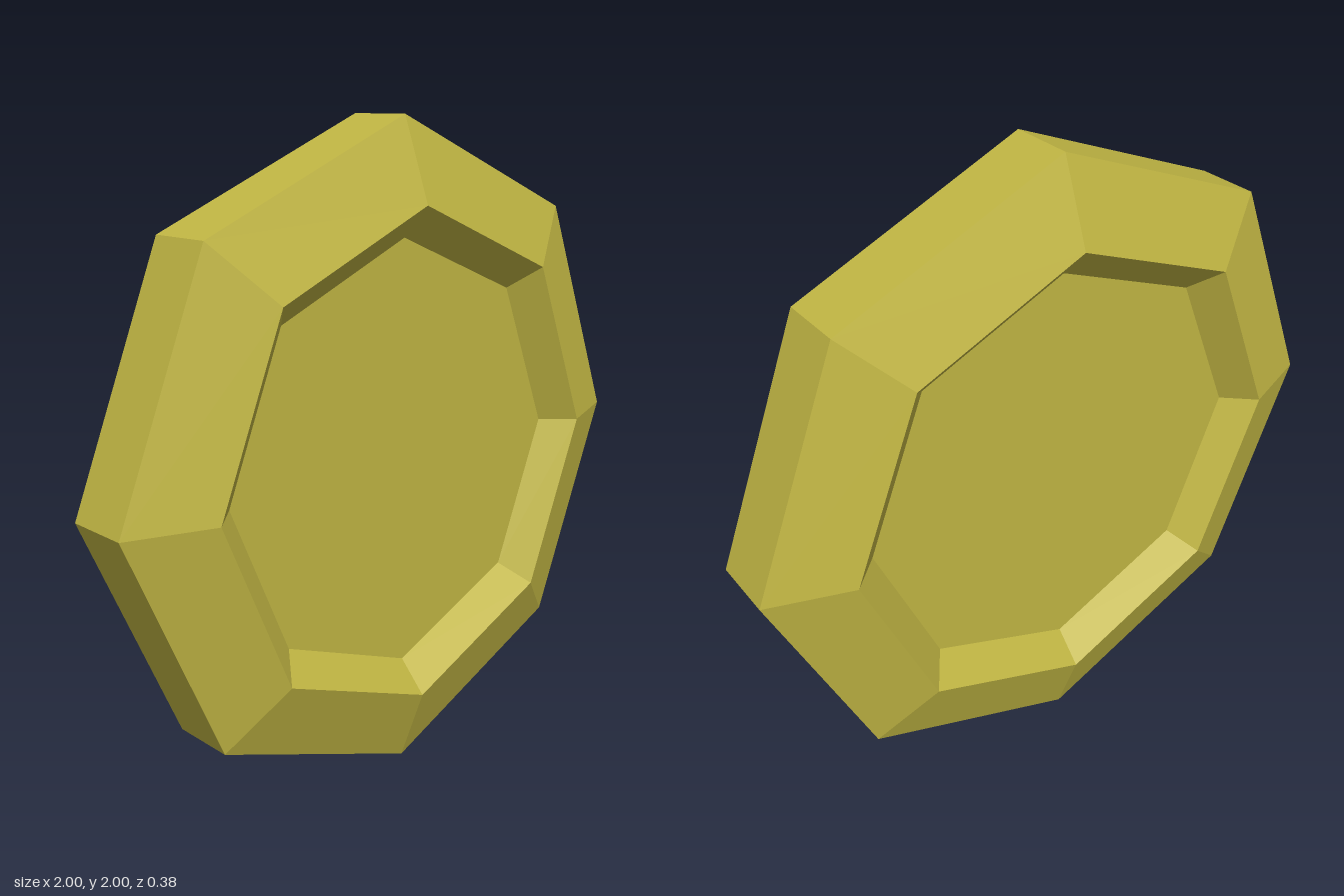
import * as THREE from 'three';

const SIDES = 8;
const FLOOR_R = 0.66;
const FLOOR_Z = 0.1;

export function createModel() {
  const group = new THREE.Group();
  group.name = 'octagonalDisc';

  const olive = new THREE.MeshStandardMaterial({ color: 0xc0b543, flatShading: true });
  olive.name = 'olive gold';

  // Bevelled rim: cross-section revolved in eight steps, then stood upright
  const profile = [
    [FLOOR_R, -FLOOR_Z], [0.755, -0.19], [1, -0.1],
    [1, 0.1], [0.755, 0.19], [FLOOR_R, FLOOR_Z],
  ].map(([r, h]) => new THREE.Vector2(r, h));
  const rimGeometry = new THREE.LatheGeometry(profile, SIDES).rotateX(Math.PI / 2).toNonIndexed();
  rimGeometry.computeVertexNormals();
  const rim = new THREE.Mesh(rimGeometry, olive);
  rim.name = 'rim';
  rim.position.y = 1;
  group.add(rim);

  // Recessed flat panel on each face
  for (const side of [1, -1]) {
    const panel = new THREE.Mesh(new THREE.CircleGeometry(FLOOR_R, SIDES), olive);
    panel.name = side > 0 ? 'frontPanel' : 'backPanel';
    panel.position.set(0, 1, side * FLOOR_Z);
    if (side < 0) panel.rotation.y = Math.PI;
    group.add(panel);
  }

  return group;
}
